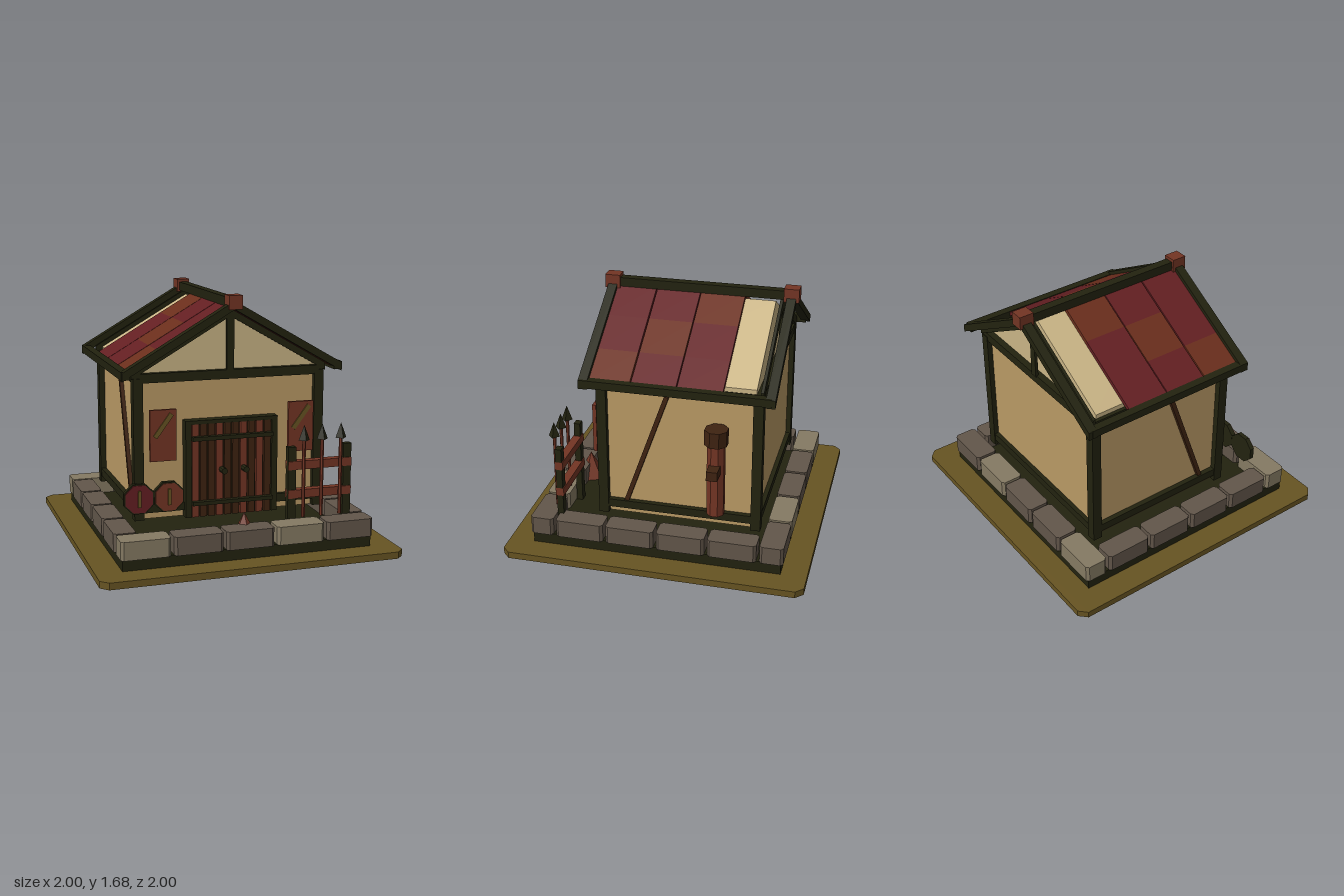
import * as THREE from 'three';

const mat = (name, color) => {
  const m = new THREE.MeshStandardMaterial({ color });
  m.name = name;
  return m;
};
const C = {
  timber: mat('dark timber', 0x22220f), red: mat('roof red', 0x641f22),
  rust: mat('roof brown', 0x6b2e1c), wood: mat('red wood', 0x733524),
  brown: mat('dark brown wood', 0x3f2311), wall: mat('wall tan', 0xba9a65),
  gable: mat('gable cream', 0xcab586), olive: mat('olive ground', 0x675422),
  stone: mat('stone', 0x62564a), pale: mat('pale stone', 0x857a63),
};

export function createModel() {
  const root = new THREE.Group();
  const add = (name, geo, m) => {
    const mesh = new THREE.Mesh(geo.index ? geo.toNonIndexed() : geo, m);
    mesh.geometry.computeVertexNormals();
    mesh.name = name;
    root.add(mesh);
    return mesh;
  };
  // box given by its limits on each axis
  const box = (name, m, x0, x1, y0, y1, z0, z1) => {
    const mesh = add(name, new THREE.BoxGeometry(x1 - x0, y1 - y0, z1 - z0), m);
    mesh.position.set((x0 + x1) / 2, (y0 + y1) / 2, (z0 + z1) / 2);
    return mesh;
  };
  // upright block with cut corners
  const chamfered = (name, m, x0, x1, y0, y1, z0, z1, c) => {
    const a = (x1 - x0) / 2, b = (z1 - z0) / 2;
    const s = new THREE.Shape([
      [-a + c, -b], [a - c, -b], [a, -b + c], [a, b - c],
      [a - c, b], [-a + c, b], [-a, b - c], [-a, -b + c],
    ].map(p => new THREE.Vector2(...p)));
    const g = new THREE.ExtrudeGeometry(s, { depth: y1 - y0, bevelEnabled: false }).rotateX(-Math.PI / 2);
    add(name, g, m).position.set((x0 + x1) / 2, y0, (z0 + z1) / 2);
  };
  // board following the roof pitch; s is the side, peak the height of its top line at x = 0
  const PITCH = 0.577;
  const sloped = (name, m, s, x0, x1, peak, thick, z0, z1) => {
    const y = x => peak - PITCH * x;
    const shape = new THREE.Shape([[x0, y(x0)], [x1, y(x1)], [x1, y(x1) - thick], [x0, y(x0) - thick]]
      .map(([x, h]) => new THREE.Vector2(s * x, h)));
    add(name, new THREE.ExtrudeGeometry(shape, { depth: z1 - z0, bevelEnabled: false }), m).position.z = z0;
  };

  // ground plate, footing and ring of stones
  chamfered('groundPlate', C.olive, -1, 1, 0, 0.045, -1, 1, 0.05);
  box('footing', C.timber, -0.83, 0.83, 0.045, 0.12, -0.83, 0.83);
  const G = 0.01;
  for (let i = 0; i < 5; i++) {
    const x0 = Math.max(-0.85 + i * 0.34 + G, -0.845), x1 = Math.min(-0.51 + i * 0.34 - G, 0.845);
    const m = i % 3 === 0 ? C.pale : C.stone;
    chamfered('frontStone', m, x0, x1, 0.115, 0.235, 0.69, 0.845, 0.018);
    chamfered('backStone', m, x0, x1, 0.115, 0.235, -0.845, -0.69, 0.018);
  }
  for (const s of [-1, 1]) for (let i = 0; i < 4; i++) {
    const z = -0.68 + i * 0.34, x = s * 0.7725;
    chamfered('sideStone', C.stone, x - 0.0725, x + 0.0725, 0.115, 0.235, z + G, z + 0.34 - G, 0.018);
  }

  // walls and timber frame
  box('walls', C.wall, -0.61, 0.61, 0.23, 1.16, -0.625, 0.39);
  for (const s of [-1, 1]) {
    const x = s * 0.6175;
    for (const z of [0.3925, -0.6275])
      box('cornerPost', C.timber, x - 0.0325, x + 0.0325, 0.23, 1.16, z - 0.0325, z + 0.0325);
    for (const [a, b] of [[0.275, 0.33], [1.13, 1.19]])
      box('sideBeam', C.timber, x - 0.0275, x + 0.0275, a, b, -0.655, 0.42);
    const brace = add('wallBrace', new THREE.BoxGeometry(0.03, 0.83, 0.03), C.brown);
    brace.position.set(s * 0.62, 0.72, 0.1025);
    brace.rotation.x = -0.339;
  }
  for (const z of [0.3925, -0.6275]) {
    for (const [a, b] of [[0.275, 0.33], [1.13, 1.19]])
      box('crossBeam', C.timber, -0.64, 0.64, a, b, z - 0.0275, z + 0.0275);
  }

  // gable block
  const tri = new THREE.Shape([[-0.62, 1.16], [0.62, 1.16], [0.62, 1.22], [0, 1.577], [-0.62, 1.22]]
    .map(p => new THREE.Vector2(...p)));
  add('gable', new THREE.ExtrudeGeometry(tri, { depth: 0.99, bevelEnabled: false }), C.gable).position.z = -0.61;
  for (const [a, b] of [[0.4, 0.42], [-0.66, -0.64]]) {
    box('gablePost', C.timber, -0.025, 0.025, 1.18, 1.56, a, b);
    for (const s of [-1, 1]) sloped('gableTrim', C.timber, s, 0, 0.66, 1.602, 0.065, a, b);
  }

  // roof timbers
  box('ridgeBeam', C.timber, -0.03, 0.03, 1.6, 1.66, -0.75, 0.51);
  for (const [a, b] of [[0.43, 0.53], [-0.765, -0.665]])
    box('ridgeCap', C.wood, -0.045, 0.045, 1.59, 1.68, a, b);
  for (const s of [-1, 1]) {
    for (const [a, b] of [[0.45, 0.51], [-0.745, -0.685]])
      sloped('bargeBoard', C.timber, s, 0, 0.74, 1.643, 0.055, a, b);
    const x = s * 0.7175;
    box('eaveBeam', C.timber, x - 0.0275, x + 0.0275, 1.17, 1.222, -0.72, 0.505);
    // roof panels: three bands, one brown panel in each
    const cuts = [0.01, 0.243, 0.483, 0.7];
    [[-0.41, -0.118], [-0.112, 0.178], [0.186, 0.452]].forEach(([z0, z1], band) => {
      for (let i = 0; i < 3; i++)
        sloped('roofPanel', i === band ? C.rust : C.red, s, cuts[i], cuts[i + 1], 1.615, 0.03, z0, z1);
    });
  }

  // double door
  box('doorBacking', C.timber, -0.29, 0.29, 0.23, 0.86, 0.38, 0.432);
  for (const s of [-1, 1])
    box('doorJamb', C.timber, s * 0.295 - 0.02, s * 0.295 + 0.02, 0.23, 0.875, 0.38, 0.46);
  box('doorLintel', C.timber, -0.315, 0.315, 0.85, 0.875, 0.38, 0.46);
  for (let i = 0; i < 10; i++) {
    const x = -0.2475 + i * 0.055;
    box('doorPlank', [0, 3, 6, 8].includes(i) ? C.wood : C.brown, x - 0.022, x + 0.022, 0.23, 0.85, 0.42, 0.455);
  }
  for (const [a, b] of [[0.745, 0.772], [0.315, 0.34]])
    box('doorStrap', C.timber, -0.275, 0.275, a, b, 0.45, 0.49);
  for (const x of [-0.068, 0.082]) {
    const knob = add('doorKnob', new THREE.CylinderGeometry(0.021, 0.021, 0.065, 8).rotateX(Math.PI / 2), C.timber);
    knob.position.set(x, 0.54, 0.483);
  }

  // wall banners with a slanted stripe
  for (const x of [-0.47, 0.47]) {
    box('banner', C.wood, x - 0.087, x + 0.087, 0.63, 0.965, 0.458, 0.482);
    const stripe = add('bannerStripe', new THREE.BoxGeometry(0.03, 0.185, 0.009), C.olive);
    stripe.position.set(x, 0.862, 0.486);
    stripe.rotation.z = -0.64;
  }

  // round shields
  for (const [x, m] of [[-0.665, C.red], [-0.47, C.wood]]) {
    const disc = (name, r, d, z, mm) => {
      const g = new THREE.CylinderGeometry(r, r, d, 8).rotateY(Math.PI / 8).rotateX(Math.PI / 2);
      add(name, g, mm).position.set(x, 0.43, z);
    };
    disc('shieldBack', 0.105, 0.03, 0.595, C.timber);
    disc('shieldFace', 0.096, 0.009, 0.613, m);
    box('shieldBar', C.olive, x - 0.01, x + 0.01, 0.38, 0.485, 0.61, 0.63);
  }

  // spear rack
  for (const x of [0.3325, 0.7175])
    box('rackPost', C.timber, x - 0.0275, x + 0.0275, 0.12, 0.71, 0.643, 0.685);
  for (const y of [0.397, 0.588])
    box('rackRail', C.wood, 0.305, 0.745, y - 0.028, y + 0.028, 0.637, 0.692);
  for (const x of [0.4, 0.525, 0.655]) {
    add('spearShaft', new THREE.CylinderGeometry(0.012, 0.012, 0.53, 6), C.wood).position.set(x, 0.515, 0.715);
    add('spearHead', new THREE.ConeGeometry(0.038, 0.1, 4), C.timber).position.set(x, 0.81, 0.715);
  }

  // flue on the side wall
  const flue = (name, r, y0, y1, m) => {
    const g = new THREE.CylinderGeometry(r, r, y1 - y0, 8).rotateY(Math.PI / 8);
    add(name, g, m).position.set(0.69, (y0 + y1) / 2, -0.373);
  };
  flue('flue', 0.06, 0.355, 0.87, C.wood);
  flue('flueCap', 0.078, 0.855, 0.96, C.brown);
  box('flueBracket', C.brown, 0.72, 0.83, 0.662, 0.725, -0.41, -0.338);

  // rock on the doorstep
  const rock = add('rock', new THREE.ConeGeometry(0.1, 0.19, 5), C.wood);
  rock.scale.set(1, 1, 1);
  rock.position.set(0.005, 0.215, 0.69);
  rock.rotation.y = 0.1;

  return root;
}
